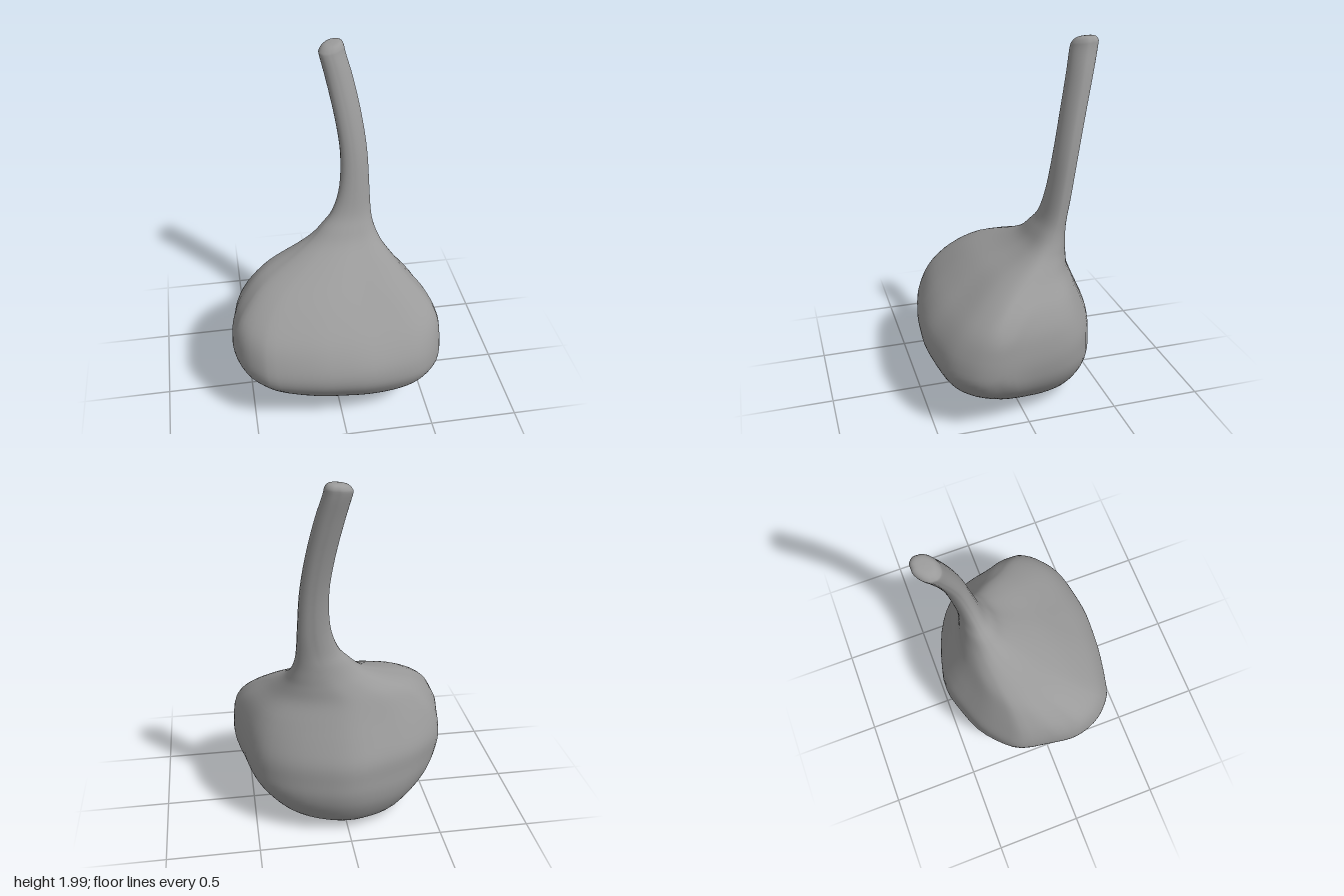
import * as THREE from 'three';

// Horizontal sections, bottom to top: y, xMin, xMax, zBack, zFront
const SECTIONS = [
  [0.03, 0.0, 0.0, -0.08, -0.08],
  [0.018, -0.12, 0.11, -0.16, 0.04],
  [0.015, -0.21, 0.19, -0.23, 0.14],
  [0.03, -0.29, 0.27, -0.31, 0.2],
  [0.08, -0.37, 0.39, -0.395, 0.275],
  [0.18, -0.475, 0.495, -0.46, 0.385],
  [0.27, -0.54, 0.56, -0.485, 0.45],
  [0.36, -0.582, 0.59, -0.485, 0.49],
  [0.46, -0.597, 0.592, -0.475, 0.475],
  [0.57, -0.575, 0.57, -0.43, 0.405],
  [0.67, -0.515, 0.51, -0.385, 0.295],
  [0.77, -0.4, 0.405, -0.343, 0.16],
  [0.85, -0.215, 0.327, -0.322, 0.01],
  [0.91, -0.105, 0.29, -0.31, -0.075],
  [0.98, -0.032, 0.266, -0.302, -0.125],
  [1.06, 0.033, 0.256, -0.3, -0.168],
  [1.2, 0.078, 0.25, -0.318, -0.2],
  [1.4, 0.087, 0.24, -0.35, -0.235],
  [1.6, 0.062, 0.213, -0.392, -0.275],
  [1.8, 0.022, 0.172, -0.442, -0.32],
  [1.93, -0.008, 0.135, -0.477, -0.348],
  [1.965, -0.005, 0.126, -0.482, -0.358],
  [1.986, 0.02, 0.105, -0.462, -0.38],
  [1.99, 0.06, 0.06, -0.42, -0.42],
];

// Plan outline of the bulb at its widest: x, z
const OUTLINE = [
  [-0.55, -0.19], [-0.48, -0.28], [-0.35, -0.38], [-0.19, -0.445], [-0.03, -0.49],
  [0.12, -0.47], [0.3, -0.41], [0.43, -0.33], [0.5, -0.24], [0.54, -0.13],
  [0.57, 0.03], [0.595, 0.15], [0.59, 0.24], [0.555, 0.32], [0.48, 0.395],
  [0.39, 0.44], [0.25, 0.47], [0.11, 0.487], [-0.04, 0.48], [-0.18, 0.465],
  [-0.39, 0.42], [-0.47, 0.375], [-0.54, 0.3], [-0.585, 0.2], [-0.6, 0.1], [-0.58, -0.04],
];

const RINGS = 92, SIDES = 64;
const { smoothstep, lerp, clamp } = THREE.MathUtils;

function spline(points, closed = false) {
  return new THREE.CatmullRomCurve3(points.map(p => new THREE.Vector3(...p)), closed, 'catmullrom', 0.5);
}

// Bump of height 1 around an angle
function lobe(angle, centre, width) {
  const d = Math.atan2(Math.sin(angle - centre), Math.cos(angle - centre));
  return Math.exp(-((d / width) ** 2));
}

// Rises from 0 to 1 between a and b, falls back to 0 between c and d
function band(y, a, b, c, d) {
  return smoothstep(y, a, b) * (1 - smoothstep(y, c, d));
}

function bulbGeometry() {
  const xCurve = spline(SECTIONS.map(s => [s[1], s[0], s[2]]));
  const zCurve = spline(SECTIONS.map(s => [s[3], s[0], s[4]]));
  const plan = spline(OUTLINE.map(([x, z]) => [x / 0.6, 0, z / 0.489]), true);
  const positions = [], index = [];

  for (let i = 0; i <= RINGS; i++) {
    const xs = xCurve.getPoint(i / RINGS), zs = zCurve.getPoint(i / RINGS), y = xs.y;
    // irregular plan around the bulb, rounder at the base and neck
    const irregular = lerp(0.35, 1, smoothstep(y, 0.05, 0.35)) * (1 - smoothstep(y, 0.6, 1));
    const shoulder = band(y, 0.45, 0.75, 0.8, 1.15);
    const base = band(y, 0.01, 0.1, 0.12, 0.42);
    const stem = smoothstep(y, 0.85, 1.2);
    const low = 1 - smoothstep(y, 0.02, 0.25);
    const tip = smoothstep(y, 1.9, 1.98);

    for (let j = 0; j < SIDES; j++) {
      const p = plan.getPoint(j / SIDES);
      const angle = Math.atan2(p.z, p.x), r = Math.hypot(p.x, p.z);
      // lobes and hollows by angle: 2.35 front right, 0.8 front left, -0.8 back left, -2.35 back right
      const shoulderSwell = 0.08 * lobe(angle, 2.35, 0.7) + 0.05 * lobe(angle, 0.6, 0.4)
        - 0.06 * lobe(angle, 1.25, 0.35) - 0.04 * lobe(angle, -2.35, 0.6);
      const baseSwell = 0.1 * lobe(angle, 0.8, 0.5) + 0.03 * lobe(angle, -2.35, 0.5)
        - 0.04 * lobe(angle, 2.35, 0.5) - 0.03 * lobe(angle, 1.55, 0.35);
      const stemSwell = -0.1 * Math.sin(2 * angle) + 0.05 * lobe(angle, -0.8, 0.6);
      const k = lerp(1 / r, 1, irregular)
        * (1 + shoulder * shoulderSwell) * (1 + base * baseSwell) * (1 + stem * stemSwell);
      const u = clamp(p.x * k, -1, 1), v = clamp(p.z * k, -1, 1);
      const x = (xs.x + xs.z) / 2 + u * (xs.z - xs.x) / 2;
      const z = (zs.x + zs.z) / 2 + v * (zs.z - zs.x) / 2;
      // base and stem tip are both slightly tilted
      const tilt = low * (0.035 * (x + z) + 0.06 * Math.max(0, z - x)) + tip * 0.12 * (x - z - 0.48);
      positions.push(x, clamp(y + tilt, 0, 2), z);

      if (i < RINGS) {
        const a = i * SIDES + j, b = i * SIDES + (j + 1) % SIDES;
        index.push(a, a + SIDES, b, b, a + SIDES, b + SIDES);
      }
    }
  }
  const geometry = new THREE.BufferGeometry();
  geometry.setAttribute('position', new THREE.Float32BufferAttribute(positions, 3));
  geometry.setIndex(index);
  geometry.computeVertexNormals();
  return geometry;
}

export function createModel() {
  const group = new THREE.Group();
  const material = new THREE.MeshStandardMaterial({ color: 0x9a9a9a });
  const bulb = new THREE.Mesh(bulbGeometry(), material);
  bulb.name = 'bulbWithStem';
  group.add(bulb);
  return group;
}
